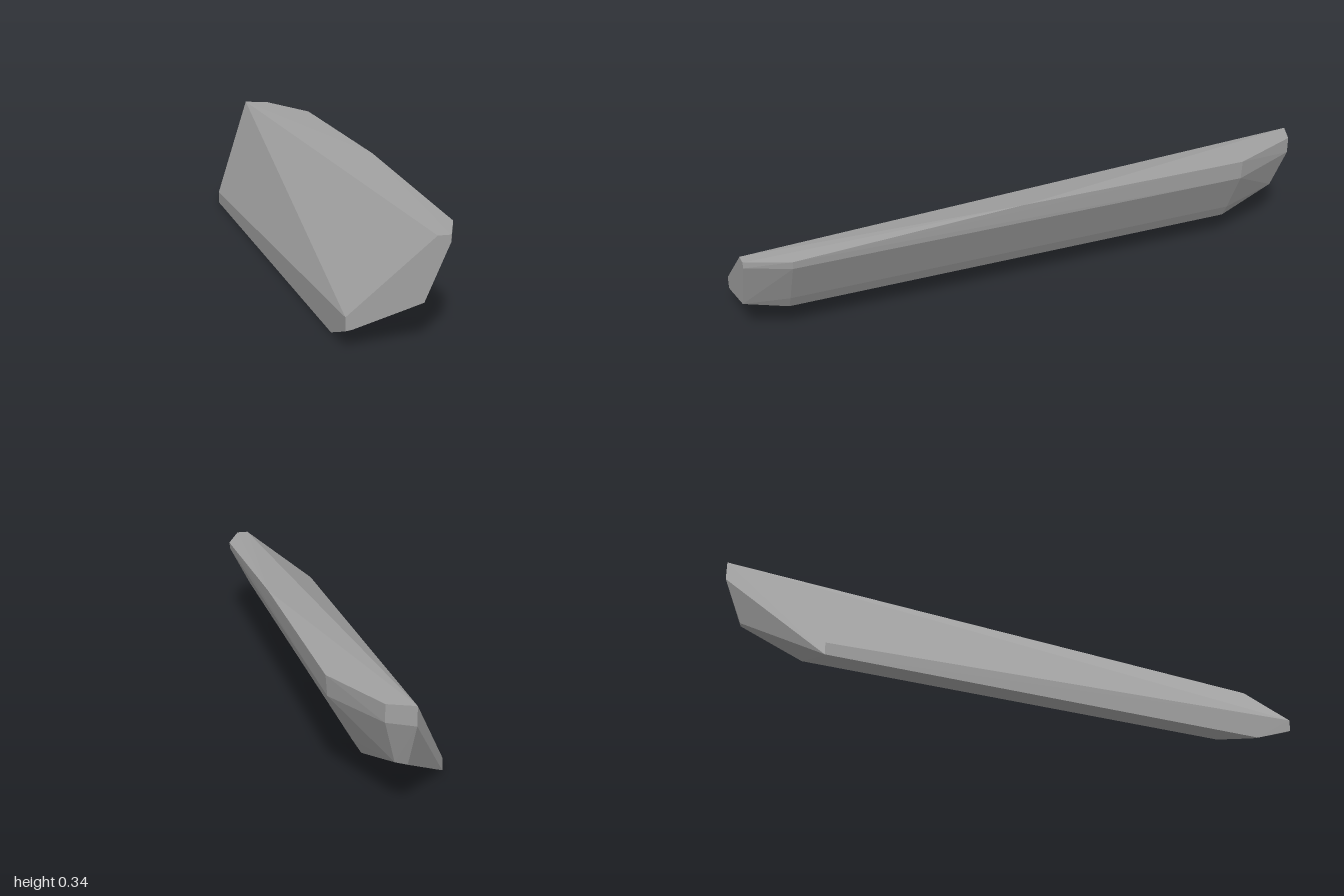
import * as THREE from 'three';
import { ConvexGeometry } from 'three/addons/geometries/ConvexGeometry.js';

export function createModel() {
  const group = new THREE.Group();
  group.name = 'stoneBeam';
  const stone = new THREE.MeshStandardMaterial({ color: 0xa0a0a0, flatShading: true });
  stone.name = 'grey stone';

  // lower side shared by both ends of the straight body: [x, y]
  const keel = [[-0.18, 0], [-0.145, 0.01], [0.072, 0.085], [0.1, 0.13], [0.175, 0.275]];
  const at = (z, profile) => profile.map(([x, y]) => new THREE.Vector3(x, y, z));

  const points = [
    // flat front end
    ...at(1, [[-0.18, 0.09], [0.08, 0.3], [0.12, 0.3], [0.12, 0.28], [0.045, 0.112], [-0.16, 0.053], [-0.18, 0.05]]),
    // front chamfer
    ...at(0.86, [...keel, [0.178, 0.3]]),
    // start of the level top edge
    ...at(0.1, [[0.18, 0.34]]),
    // rear chamfer
    ...at(-0.715, [...keel, [0.18, 0.34], [-0.18, 0.04]]),
    // narrow rear tip
    ...at(-0.93, [[0.035, 0.147]]),
    ...at(-0.94, [[0, 0.14]]),
    ...at(-0.965, [[0.075, 0.34], [0.075, 0.285]]),
    ...at(-1, [[-0.006, 0.34], [-0.006, 0.28]]),
  ];

  const beam = new THREE.Mesh(new ConvexGeometry(points), stone);
  beam.name = 'chippedBeam';
  group.add(beam);
  return group;
}
